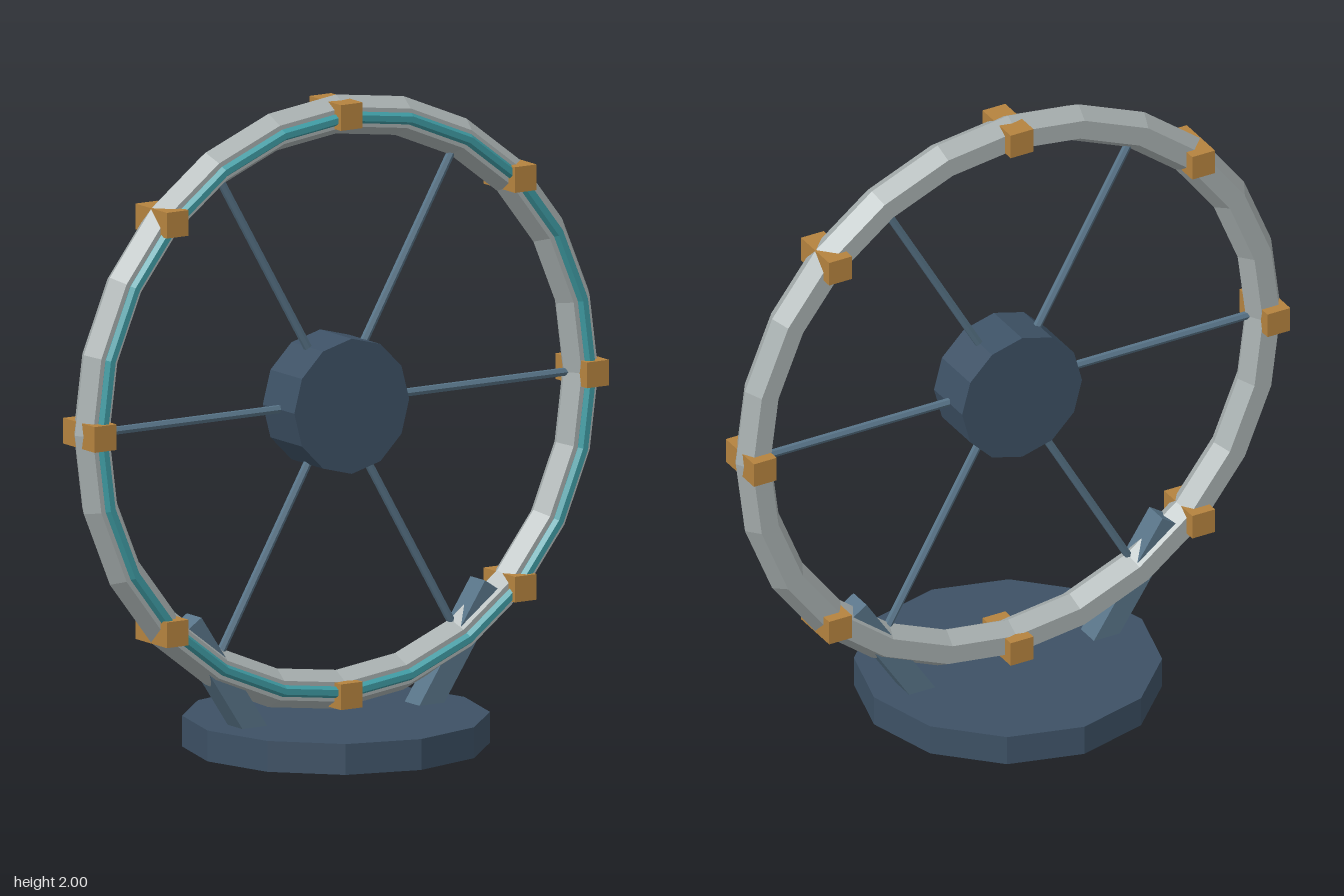
import * as THREE from 'three';

const CENTER_Y = 1.055;   // height of the wheel axis
const RING_R = 0.885;     // centreline radius of the ring

function material(name, color) {
  const m = new THREE.MeshStandardMaterial({ color, flatShading: true });
  m.name = name;
  return m;
}

export function createModel() {
  const ringGrey = material('ringGrey', 0xa8b0b0);
  const teal = material('teal', 0x3f9ba3);
  const bronze = material('bronze', 0xb5833f);
  const darkBlue = material('darkBlue', 0x3d5165);
  const steelBlue = material('steelBlue', 0x587488);

  const model = new THREE.Group();
  model.name = 'ringOnStand';

  function add(parent, name, geometry, mat, x = 0, y = 0, z = 0) {
    const mesh = new THREE.Mesh(geometry, mat);
    mesh.name = name;
    mesh.position.set(x, y, z);
    parent.add(mesh);
    return mesh;
  }

  // Round stand
  add(model, 'base', new THREE.CylinderGeometry(0.465, 0.465, 0.095, 12), darkBlue, 0, 0.0475, 0);

  // Leaning struts that cradle the ring
  const strutGeometry = new THREE.BoxGeometry(0.075, 0.448, 0.08);
  for (const side of [-1, 1]) {
    const strut = add(model, side > 0 ? 'leftStrut' : 'rightStrut', strutGeometry, steelBlue, side * 0.421, 0.247, 0);
    strut.rotation.z = -side * 0.585;
  }

  const wheel = new THREE.Group();
  wheel.name = 'wheel';
  wheel.position.y = CENTER_Y;
  model.add(wheel);

  // Ring with an inlaid band on its front
  add(wheel, 'ring', new THREE.TorusGeometry(RING_R, 0.06, 6, 24), ringGrey);
  add(wheel, 'frontBand', new THREE.TorusGeometry(RING_R, 0.018, 6, 24), teal, 0, 0, 0.058);

  // Hub
  const hub = add(wheel, 'hub', new THREE.CylinderGeometry(0.208, 0.208, 0.172, 12), darkBlue);
  hub.rotation.x = Math.PI / 2;

  // Six spokes from hub to ring
  const spokeGeometry = new THREE.CylinderGeometry(0.013, 0.013, 0.7, 6);
  for (let i = 0; i < 6; i++) {
    const a = (i * Math.PI) / 3;
    const spoke = add(wheel, 'spoke', spokeGeometry, steelBlue, Math.cos(a) * 0.5, Math.sin(a) * 0.5, 0);
    spoke.rotation.z = a - Math.PI / 2;
  }

  // Eight clamp blocks running through the ring
  const clampGeometry = new THREE.BoxGeometry(0.079, 0.079, 0.172);
  for (let i = 0; i < 8; i++) {
    const a = (i * Math.PI) / 4;
    add(wheel, 'clamp', clampGeometry, bronze, Math.cos(a) * 0.891, Math.sin(a) * 0.891, 0);
  }

  return model;
}
